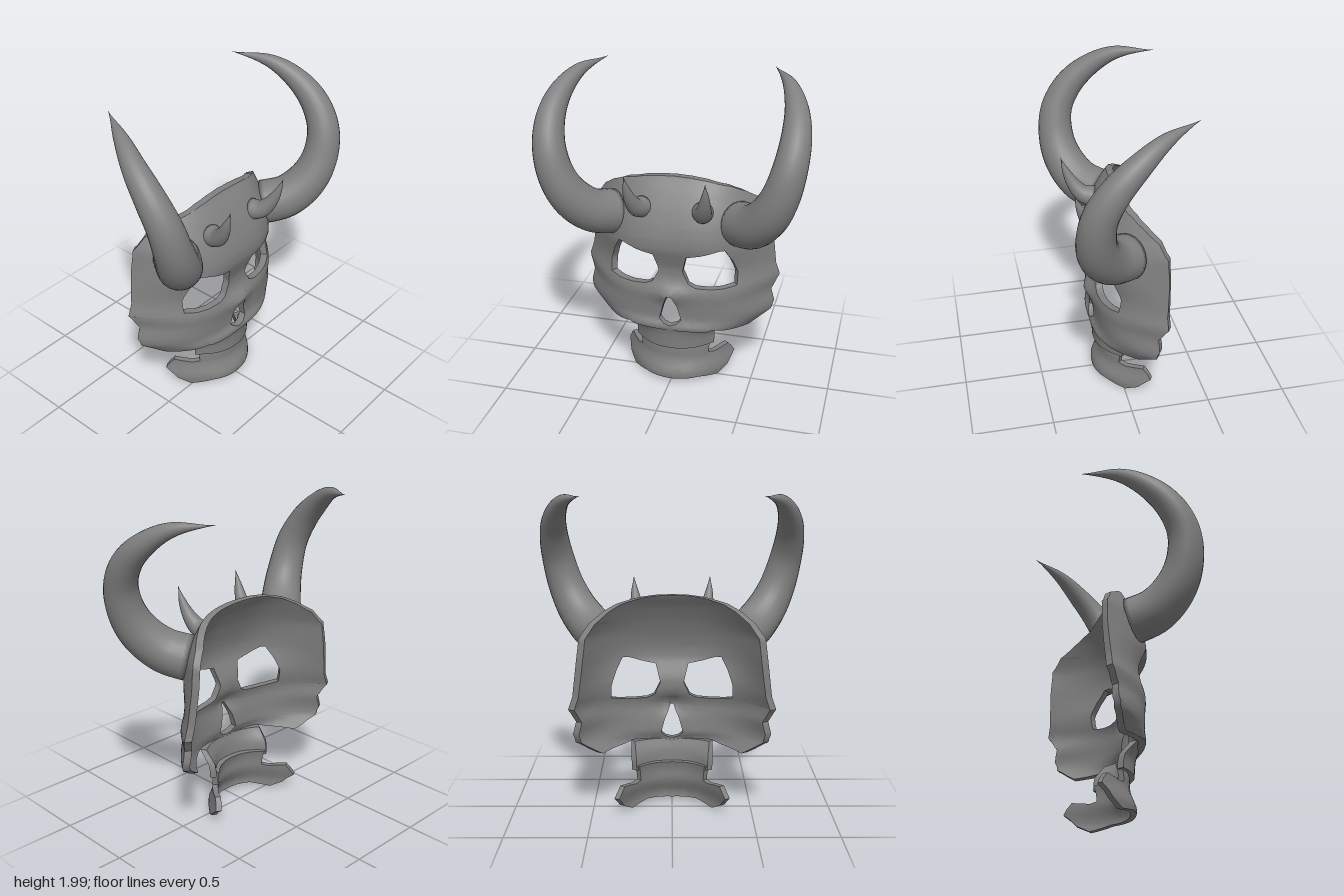
import * as THREE from 'three';
import { mergeVertices, toCreasedNormals } from 'three/addons/utils/BufferGeometryUtils.js';

const material = new THREE.MeshStandardMaterial({ color: 0x808080, side: THREE.DoubleSide });

// Smoothed lookup in a list of [y, value] knots
function profile(knots) {
  const lerp = (y) => {
    if (y <= knots[0][0]) return knots[0][1];
    for (let i = 1; i < knots.length; i++) {
      const [a, va] = knots[i - 1], [b, vb] = knots[i];
      if (y <= b) return va + (vb - va) * (y - a) / (b - a);
    }
    return knots[knots.length - 1][1];
  };
  return (y) => [-0.02, -0.01, 0, 0.01, 0.02].reduce((sum, d) => sum + lerp(y + d) / 5, 0);
}

// Closed outline from its +x half, listed bottom to top
function mirrored(half) {
  const other = half.filter(([x]) => x > 0).map(([x, y]) => [-x, y]).reverse();
  return [...half, ...other].map(([x, y]) => new THREE.Vector2(x, y));
}

// Halve every edge longer than maxLength, so that the plate can bend
function subdivide(geometry, maxLength) {
  const pos = geometry.toNonIndexed().attributes.position;
  const stack = [], out = [];
  for (let i = 0; i < pos.count; i += 3) {
    stack.push([0, 1, 2].map((k) => new THREE.Vector3().fromBufferAttribute(pos, i + k)));
  }
  while (stack.length) {
    const t = stack.pop();
    const lengths = [0, 1, 2].map((k) => t[k].distanceTo(t[(k + 1) % 3]));
    const longest = Math.max(...lengths);
    if (longest <= maxLength) {
      t.forEach((v) => out.push(v.x, v.y, v.z));
      continue;
    }
    const k = lengths.indexOf(longest);
    const a = t[k], b = t[(k + 1) % 3], c = t[(k + 2) % 3];
    const m = a.clone().add(b).multiplyScalar(0.5);
    stack.push([a, m, c], [m, b, c]);
  }
  return new THREE.BufferGeometry().setAttribute('position', new THREE.Float32BufferAttribute(out, 3));
}

// Plate cut from a flat outline and bent onto the surface z = f(x, y), thickened backward
function bentPlate(name, thickness, outline, holes, f) {
  const shape = new THREE.Shape(outline);
  shape.holes = holes.map((h) => new THREE.Path(h));
  const flat = new THREE.ExtrudeGeometry(shape, { depth: thickness, bevelEnabled: false });
  const geometry = subdivide(flat, 0.046);
  const pos = geometry.attributes.position;
  const e = 0.01;
  for (let i = 0; i < pos.count; i++) {
    const x = pos.getX(i), y = pos.getY(i);
    const slope = (f(x + e, y) - f(x - e, y)) / (2 * e);
    const back = (thickness - pos.getZ(i)) / Math.hypot(slope, 1);
    pos.setXYZ(i, x + slope * back, y, f(x, y) - back);
  }
  const mesh = new THREE.Mesh(toCreasedNormals(geometry, 0.9), material);
  mesh.name = name;
  return mesh;
}

// Tapered horn: each point is [x, y, z, radius]
function horn(name, points, side, segments) {
  const curve = new THREE.CatmullRomCurve3(points.map(([x, y, z]) => new THREE.Vector3(x * side, y, z)));
  const radii = new THREE.SplineCurve(points.map((p, i) => new THREE.Vector2(i, p[3])));
  const radial = 24;
  const geometry = new THREE.TubeGeometry(curve, segments, 1, radial);
  const pos = geometry.attributes.position, v = new THREE.Vector3();
  for (let i = 0; i <= segments; i++) {
    const u = i / segments, center = curve.getPointAt(u);
    // The first ring closes to a point and caps the base
    const r = i === 0 ? 0 : Math.max(0.0005, radii.getPoint(curve.getUtoTmapping(u)).y);
    for (let j = 0; j <= radial; j++) {
      const k = i * (radial + 1) + j;
      v.fromBufferAttribute(pos, k).sub(center).multiplyScalar(r).add(center);
      pos.setXYZ(k, v.x, v.y, v.z);
    }
  }
  geometry.deleteAttribute('uv');
  geometry.deleteAttribute('normal');
  const smooth = mergeVertices(geometry, 1e-5);
  smooth.computeVertexNormals();
  const mesh = new THREE.Mesh(smooth, material);
  mesh.name = name;
  return mesh;
}

export function createModel() {
  const model = new THREE.Group();
  model.name = 'hornedSkullMask';

  // Skull plate: depth at the centre line, half width and depth at the rim, by height
  const center = profile([[0.38, 0.165], [0.415, 0.185], [0.46, 0.155], [0.55, 0.16], [0.65, 0.172],
    [0.73, 0.145], [0.82, 0.145], [0.95, 0.19], [1.02, 0.19], [1.1, 0.17], [1.2, 0.13], [1.3, 0.075], [1.38, 0.015]]);
  const width = profile([[0.38, 0.48], [0.42, 0.53], [0.475, 0.595], [0.53, 0.61], [0.61, 0.6], [0.7, 0.63],
    [0.78, 0.605], [0.9, 0.59], [1.02, 0.575], [1.14, 0.56], [1.2, 0.53]]);
  const rim = profile([[0.38, -0.08], [0.42, -0.1], [0.56, -0.145], [0.73, -0.18], [1, -0.195], [1.09, -0.19],
    [1.2, -0.18], [1.285, -0.255], [1.38, -0.33]]);
  const skullSurface = (x, y) => center(y)
    + (rim(y) - center(y)) * Math.pow(Math.min(Math.abs(x) / width(y), 1.03), 3.2)
    + 0.035 * Math.exp(-((x / 0.09) ** 2) - ((y - 0.65) / 0.06) ** 2);
  const skull = mirrored([[0, 0.39], [0.24, 0.4], [0.27, 0.415], [0.34, 0.4], [0.47, 0.385],
    [0.52, 0.42], [0.595, 0.475], [0.61, 0.53], [0.59, 0.61], [0.632, 0.7], [0.605, 0.78], [0.59, 0.9],
    [0.575, 1.02], [0.56, 1.14], [0.5, 1.225], [0.42, 1.285], [0.34, 1.325], [0.2, 1.36], [0.1, 1.373], [0, 1.377]]);
  const eye = [[0.105, 0.915], [0.2, 0.935], [0.3, 0.965], [0.335, 0.965], [0.375, 0.89], [0.405, 0.8], [0.405, 0.715],
    [0.33, 0.7], [0.25, 0.695], [0.16, 0.7], [0.115, 0.72], [0.075, 0.8]];
  const eyeHoles = [1, -1].map((s) => eye.map(([x, y]) => new THREE.Vector2(x * s, y)));
  const noseHole = mirrored([[0, 0.425], [0.04, 0.437], [0.07, 0.465], [0.045, 0.56], [0.015, 0.643]]);
  model.add(bentPlate('skullPlate', 0.045, skull, [...eyeHoles, noseHole], skullSurface));

  // Upper jaw, flaring out to meet the cheeks
  const gum = profile([[0.25, 0.15], [0.36, 0.157], [0.42, 0.175]]);
  const gumWrap = profile([[0.33, 0.14], [0.42, 0.07]]);
  const upperSurface = (x, y) => gum(y) - gumWrap(y) * Math.pow(Math.abs(x) / 0.255, 2.3);
  const upper = mirrored([[0, 0.25], [0.255, 0.25], [0.26, 0.42], [0.08, 0.42], [0, 0.41]]);
  model.add(bentPlate('upperJaw', 0.04, upper, [], upperSurface));

  // Lower jaw, tucked behind the upper one
  const chin = profile([[0.01, 0.155], [0.06, 0.165], [0.15, 0.12], [0.24, 0.12], [0.3, 0.1]]);
  const lowerSurface = (x, y) => chin(y) - 0.29 * Math.pow(Math.abs(x) / 0.36, 2.3);
  const lower = mirrored([[0, 0.025], [0.18, 0.03], [0.28, 0.005], [0.33, 0.045], [0.36, 0.115], [0.325, 0.185],
    [0.255, 0.17], [0.222, 0.18], [0.23, 0.28], [0, 0.28]]);
  model.add(bentPlate('lowerJaw', 0.035, lower, [], lowerSurface));

  // Horns, mirrored
  const large = [[0.39, 1.1, 0, 0.14], [0.5, 1.15, 0.13, 0.135], [0.6, 1.26, 0.215, 0.125],
    [0.67, 1.4, 0.25, 0.112], [0.715, 1.57, 0.235, 0.1], [0.73, 1.72, 0.155, 0.088],
    [0.71, 1.845, 0.03, 0.07], [0.645, 1.945, -0.13, 0.042], [0.525, 1.99, -0.35, 0]];
  const small = [[0.185, 1.19, 0.085, 0.068], [0.203, 1.21, 0.16, 0.056], [0.222, 1.27, 0.215, 0.042],
    [0.237, 1.36, 0.26, 0.023], [0.243, 1.455, 0.292, 0]];
  for (const [label, side] of [['left', 1], ['right', -1]]) {
    model.add(horn(label + 'LargeHorn', large, side, 56));
    model.add(horn(label + 'BrowHorn', small, side, 24));
  }
  return model;
}
